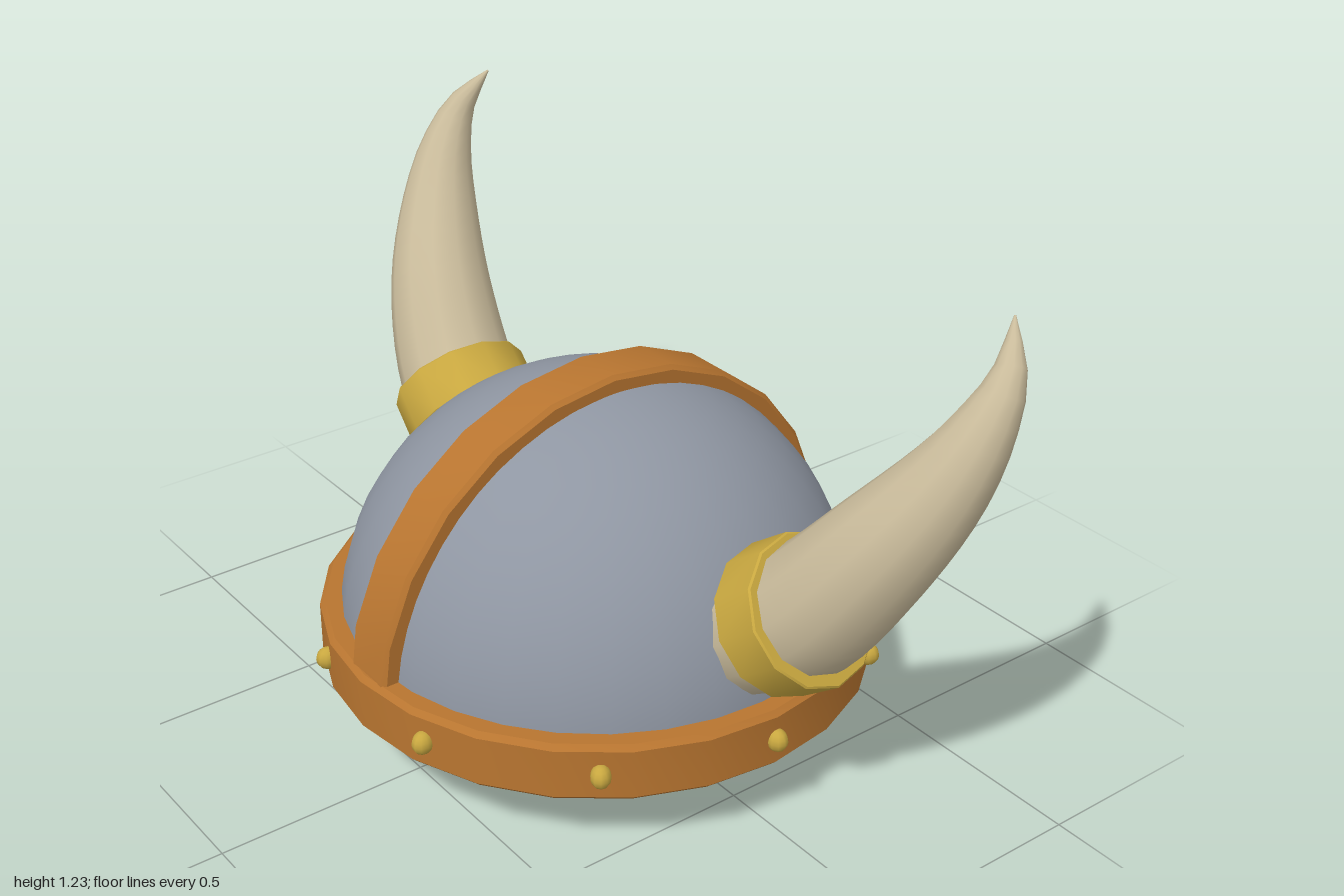
import * as THREE from 'three';
import { toCreasedNormals, mergeVertices } from 'three/addons/utils/BufferGeometryUtils.js';
import { RoundedBoxGeometry } from 'three/addons/geometries/RoundedBoxGeometry.js';

const material = (name, color) => {
  const m = new THREE.MeshStandardMaterial({ color });
  m.name = name;
  return m;
};

// Lathe with smooth sides and sharp edges
function turned(points, sides, start = 0, sweep = Math.PI * 2) {
  const pts = points.map(([r, y]) => new THREE.Vector2(r, y));
  return toCreasedNormals(new THREE.LatheGeometry(pts, sides, start, sweep), 0.6);
}

// Ring with a bevelled rectangular section
function hoop(inner, outer, half, bevel, sides, start, sweep) {
  return turned([
    [inner, -half], [outer - bevel, -half], [outer, -half + bevel],
    [outer, half - bevel], [outer - bevel, half], [inner, half], [inner, -half],
  ], sides, start, sweep);
}

// Curved, tapering horn; side is +1 or -1 along z
function hornGeometry(side) {
  const curve = new THREE.CatmullRomCurve3([
    [0.04, 0.43, 0.5], [0.055, 0.55, 0.65], [0.1, 0.74, 0.79], [0.165, 0.91, 0.885],
    [0.215, 1.03, 0.925], [0.265, 1.13, 0.93], [0.32, 1.225, 0.882],
  ].map(([x, y, z]) => new THREE.Vector3(x, y, z * side)));
  const rings = 20, sides = 12;
  let geo = new THREE.TubeGeometry(curve, rings, 1, sides);
  const pos = geo.attributes.position, v = new THREE.Vector3();
  for (let i = 0; i <= rings; i++) {
    const u = i / rings, centre = curve.getPointAt(u);
    const radius = 0.145 * (1 - u ** 2.2) + 0.002;
    for (let j = 0; j <= sides; j++) {
      const k = i * (sides + 1) + j;
      v.fromBufferAttribute(pos, k).sub(centre).multiplyScalar(radius).add(centre);
      pos.setXYZ(k, v.x, v.y, v.z);
    }
  }
  geo.deleteAttribute('uv');
  geo.deleteAttribute('normal');
  geo = mergeVertices(geo, 1e-5);
  geo.computeVertexNormals();
  return geo;
}

export function createModel() {
  const steel = material('steel grey', 0x8f96a2);
  const copper = material('copper brown', 0xb87530);
  const gold = material('gold', 0xc9a840);
  const bone = material('bone', 0xc9bb9b);

  const model = new THREE.Group();
  model.name = 'hornedHelmet';
  const add = (name, geo, mat, x = 0, y = 0, z = 0) => {
    const mesh = new THREE.Mesh(geo, mat);
    mesh.name = name;
    mesh.position.set(x, y, z);
    model.add(mesh);
    return mesh;
  };
  const cx = -0.004, cy = 0.235;

  // Dome with a closed underside
  const profile = [[0, -0.035], [0.59, -0.035]];
  for (let i = 0; i <= 14; i++) {
    const a = (i / 14) * Math.PI / 2;
    profile.push([i === 14 ? 0 : 0.59 * Math.cos(a), 0.59 * Math.sin(a)]);
  }
  add('dome', turned(profile, 32), steel, cx, cy);

  // Brow band and the strap over the crown
  add('browBand', hoop(0.575, 0.635, 0.07, 0.012, 24), copper, cx, cy);
  const strap = hoop(0.58, 0.627, 0.066, 0.01, 12, Math.PI / 2, Math.PI);
  strap.rotateX(Math.PI / 2);
  add('crownStrap', strap, copper, cx, cy);

  // Nose guard
  add('noseGuard', new RoundedBoxGeometry(0.046, 0.262, 0.1, 2, 0.01), copper, 0.615, 0.131);

  // Ten studs around the band
  const studGeo = new THREE.SphereGeometry(0.027, 10, 8);
  for (let i = 0; i < 10; i++) {
    const a = (18 + 36 * i) * Math.PI / 180;
    const stud = add('stud', studGeo, gold, cx + 0.635 * Math.cos(a), cy, 0.635 * Math.sin(a));
    stud.rotation.y = -a;
    stud.scale.z = 0.85;
  }

  // Horns with their collars
  const collarGeo = hoop(0.125, 0.168, 0.06, 0.004, 12);
  const up = new THREE.Vector3(0, 1, 0);
  for (const side of [1, -1]) {
    const label = side > 0 ? 'front' : 'back';
    add(label + 'Horn', hornGeometry(side), bone);
    const collar = add(label + 'HornCollar', collarGeo, gold, 0.052, 0.515, 0.61 * side);
    collar.quaternion.setFromUnitVectors(up, new THREE.Vector3(0.1, 0.59, 0.8 * side).normalize());
  }
  return model;
}
